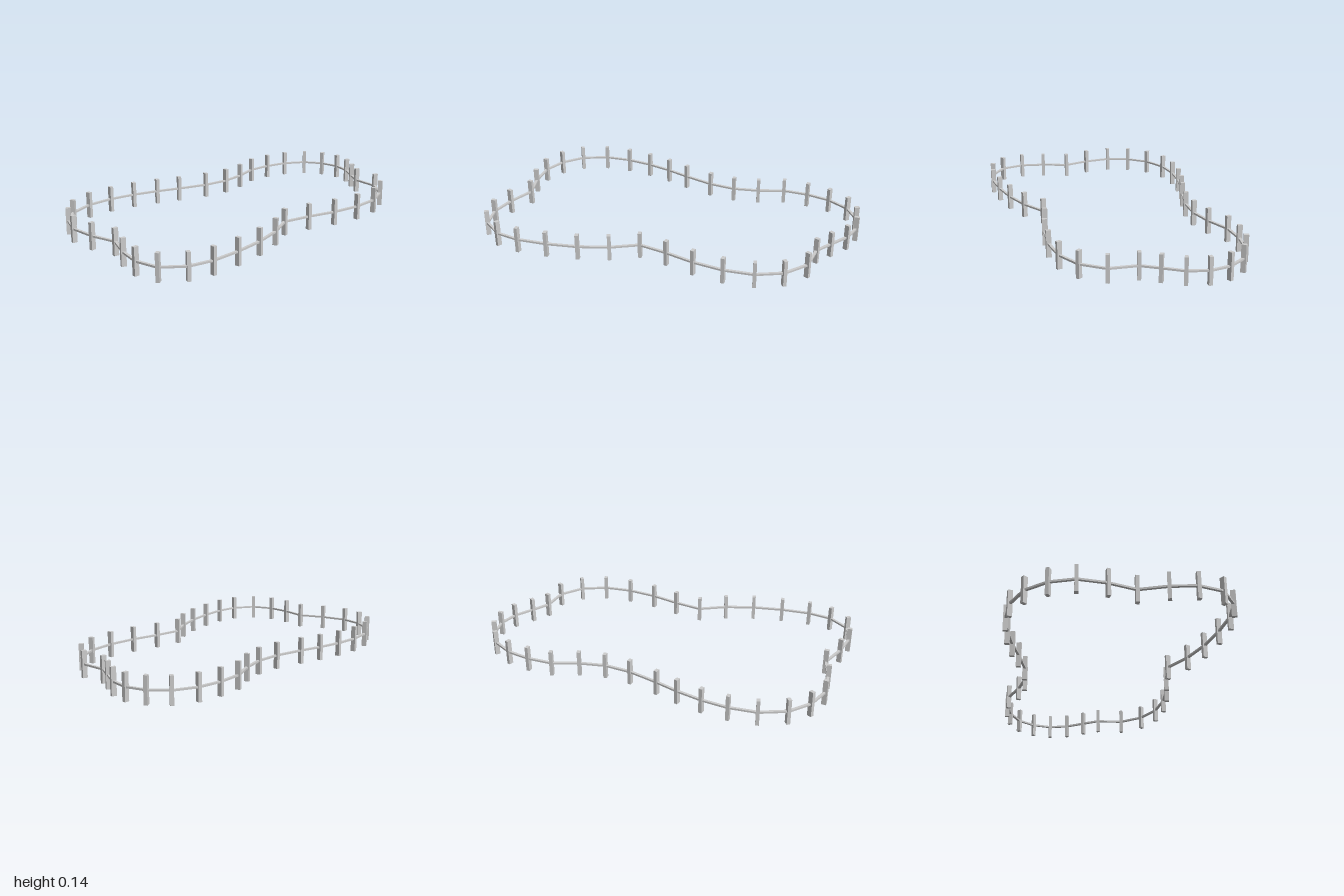
import * as THREE from 'three';

// Post positions [x, z] around the closed fence line
const POSTS = [
  [-0.623, -0.547], [-0.473, -0.547], [-0.329, -0.519], [-0.19, -0.474], [-0.065, -0.422],
  [0.098, -0.364], [0.245, -0.341], [0.388, -0.357], [0.533, -0.397], [0.673, -0.387],
  [0.803, -0.351], [0.915, -0.277], [0.973, -0.174], [0.985, -0.061], [0.947, 0.045],
  [0.874, 0.139], [0.81, 0.225], [0.787, 0.375], [0.687, 0.483], [0.547, 0.537],
  [0.387, 0.54], [0.223, 0.51], [0.067, 0.46], [-0.088, 0.423], [-0.235, 0.49],
  [-0.397, 0.53], [-0.567, 0.548], [-0.73, 0.548], [-0.86, 0.517], [-0.965, 0.427],
  [-0.987, 0.295], [-0.953, 0.162], [-0.89, 0.023], [-0.92, -0.125], [-0.922, -0.277],
  [-0.867, -0.4], [-0.767, -0.497],
];
const POST_HEIGHT = 0.145, POST_ALONG = 0.019, POST_ACROSS = 0.026;
const RAIL_Y = 0.072, RAIL_HEIGHT = 0.01, RAIL_DEPTH = 0.014;

// Turn about y that points local x from a to b
const heading = (a, b) => Math.atan2(a[1] - b[1], b[0] - a[0]);

export function createModel() {
  const group = new THREE.Group();
  group.name = 'fence';
  const material = new THREE.MeshStandardMaterial({ color: 0xcccccc, flatShading: true });
  const postGeometry = new THREE.BoxGeometry(POST_ALONG, POST_HEIGHT, POST_ACROSS);

  POSTS.forEach((point, i) => {
    const previous = POSTS[(i + POSTS.length - 1) % POSTS.length];
    const next = POSTS[(i + 1) % POSTS.length];
    const [x, z] = point;

    // Post follows the bend between its two neighbours
    const post = new THREE.Mesh(postGeometry, material);
    post.name = `post${i + 1}`;
    post.position.set(x, POST_HEIGHT / 2, z);
    post.rotation.y = heading(previous, next);
    group.add(post);

    // Single rail running to the next post
    const length = Math.hypot(next[0] - x, next[1] - z);
    const rail = new THREE.Mesh(new THREE.BoxGeometry(length, RAIL_HEIGHT, RAIL_DEPTH), material);
    rail.name = `rail${i + 1}`;
    rail.position.set((x + next[0]) / 2, RAIL_Y, (z + next[1]) / 2);
    rail.rotation.y = heading(point, next);
    group.add(rail);
  });

  return group;
}
